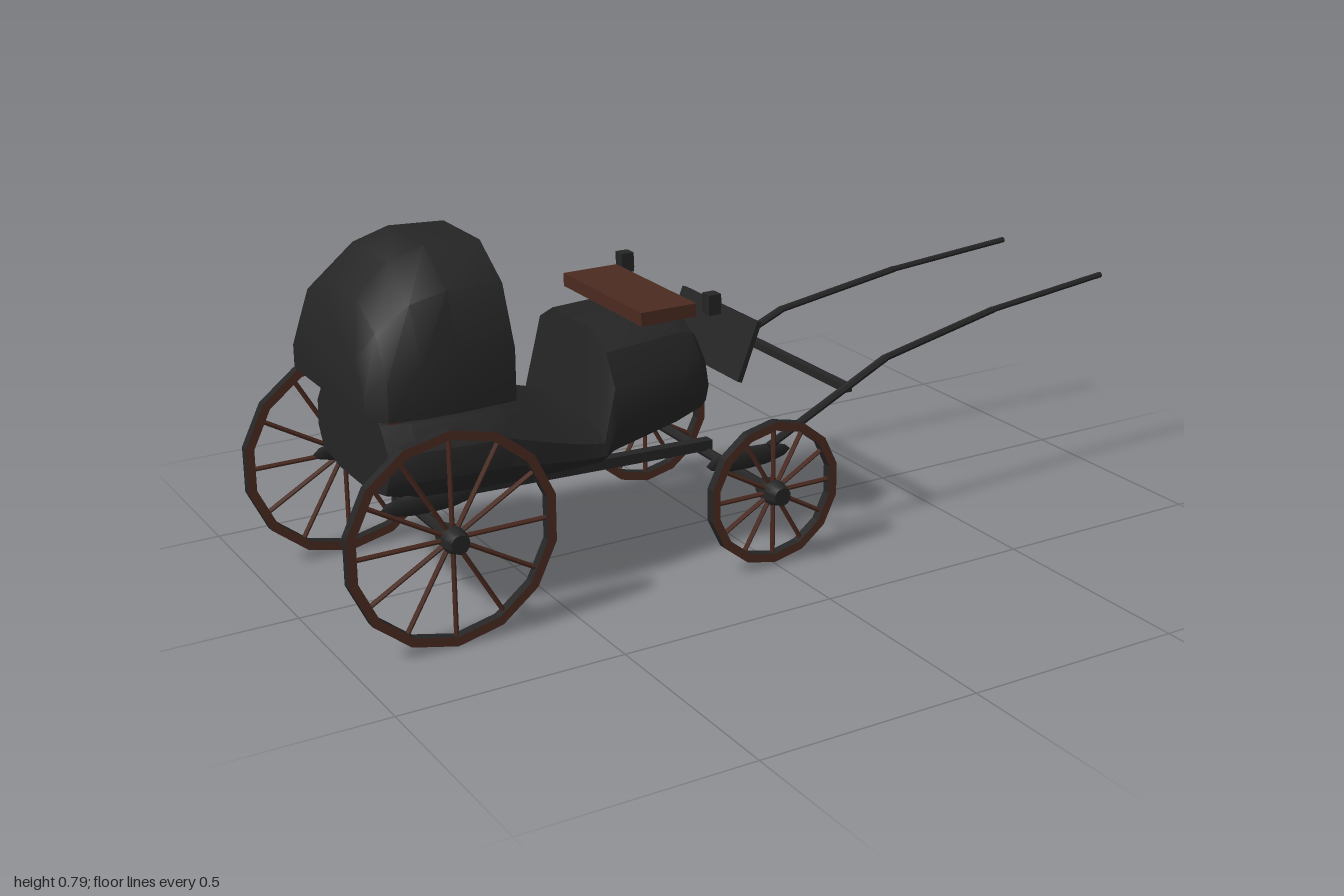
import * as THREE from 'three';
import { toCreasedNormals } from 'three/addons/utils/BufferGeometryUtils.js';

const black = new THREE.MeshStandardMaterial({ name: 'black lacquer', color: 0x252525 });
const brown = new THREE.MeshStandardMaterial({ name: 'brown wood', color: 0x4c2b21 });

function add(parent, name, geometry, material, x = 0, y = 0, z = 0) {
  const mesh = new THREE.Mesh(geometry, material);
  mesh.name = name;
  mesh.position.set(x, y, z);
  parent.add(mesh);
  return mesh;
}

// Straight rod between two points
function rod(parent, name, a, b, radius, material, sides = 6) {
  const p = new THREE.Vector3(...a), q = new THREE.Vector3(...b);
  const dir = q.clone().sub(p);
  const geo = toCreasedNormals(new THREE.CylinderGeometry(radius, radius, dir.length(), sides), 0.6);
  const mesh = add(parent, name, geo, material);
  mesh.position.copy(p).add(q).multiplyScalar(0.5);
  mesh.quaternion.setFromUnitVectors(new THREE.Vector3(0, 1, 0), dir.normalize());
  return mesh;
}

// Closed hull along x; stations are [xBottom, xTop, bottom, top, halfWidth],
// and the section lists [width, height] fractions from bottom to top of one side
function loft(stations, section, crease) {
  const ring = [...section, ...section.map(([w, h]) => [-w, h]).reverse()];
  const n = ring.length, pos = [], idx = [];
  for (const [xb, xt, b, t, half] of stations) {
    for (const [w, h] of ring) pos.push(xb + (xt - xb) * h, b + (t - b) * h, half * w);
  }
  const last = (stations.length - 1) * n;
  for (let i = 0; i < stations.length - 1; i++) {
    for (let j = 0; j < n; j++) {
      const k = (j + 1) % n, a = i * n, b = a + n;
      idx.push(a + j, b + j, b + k, a + j, b + k, a + k);
    }
  }
  for (let j = 1; j < n - 1; j++) idx.push(0, j, j + 1, last, last + j + 1, last + j);
  const geo = new THREE.BufferGeometry();
  geo.setAttribute('position', new THREE.Float32BufferAttribute(pos, 3));
  geo.setIndex(idx);
  return toCreasedNormals(geo, crease);
}

// Regular polygon outline with a corner at the bottom
function polygon(Type, radius, sides) {
  const pts = [];
  for (let i = 0; i < sides; i++) {
    const a = (i / sides) * Math.PI * 2 - Math.PI / 2;
    pts.push(new THREE.Vector2(Math.cos(a) * radius, Math.sin(a) * radius));
  }
  return new Type(pts);
}

function makeWheel(name, radius) {
  const wheel = new THREE.Group();
  wheel.name = name;
  // Wooden rim faces with a dark tyre around the edge
  const outline = polygon(THREE.Shape, radius, 14);
  outline.holes.push(polygon(THREE.Path, radius - 0.02, 14));
  const rim = new THREE.ExtrudeGeometry(outline, { depth: 0.022, bevelEnabled: false });
  rim.translate(0, 0, -0.011);
  add(wheel, 'rim', rim, [brown, black]);
  for (let i = 0; i < 12; i++) {
    const a = (i / 12) * Math.PI * 2, r = radius - 0.013;
    rod(wheel, 'spoke', [0, 0, 0], [Math.cos(a) * r, Math.sin(a) * r, 0], 0.0055, brown, 5);
  }
  // Barrel-shaped hub
  const profile = [[0, -0.04], [0.021, -0.04], [0.028, -0.016], [0.028, 0.016], [0.021, 0.04], [0, 0.04]];
  const hub = new THREE.LatheGeometry(profile.map(p => new THREE.Vector2(...p)), 10);
  hub.rotateX(Math.PI / 2);
  add(wheel, 'hub', toCreasedNormals(hub, 0.7), black);
  return wheel;
}

export function createModel() {
  const carriage = new THREE.Group();
  carriage.name = 'carriage';

  // Body tub with footwell and driver's box
  add(carriage, 'body', loft([
    [-0.86, -0.86, 0.285, 0.475, 0.19],
    [-0.8, -0.8, 0.272, 0.475, 0.213],
    [-0.6, -0.6, 0.268, 0.468, 0.22],
    [-0.5, -0.5, 0.268, 0.415, 0.21],
    [-0.42, -0.42, 0.268, 0.378, 0.2],
    [-0.365, -0.372, 0.268, 0.363, 0.193],
    [-0.335, -0.345, 0.268, 0.55, 0.19],
    [-0.18, -0.15, 0.305, 0.56, 0.184],
    [-0.12, -0.125, 0.325, 0.548, 0.177],
    [-0.09, -0.112, 0.34, 0.525, 0.163],
  ], [[0.42, 0], [0.88, 0.1], [1, 0.32], [0.98, 0.62], [0.8, 0.87], [0.46, 1]], 0.6), black);

  // Folding hood
  add(carriage, 'hood', loft([
    [-0.905, -0.905, 0.48, 0.62, 0.19],
    [-0.87, -0.87, 0.48, 0.7, 0.226],
    [-0.8, -0.8, 0.48, 0.765, 0.24],
    [-0.72, -0.72, 0.48, 0.788, 0.243],
    [-0.596, -0.596, 0.48, 0.782, 0.236],
  ], [[1, 0], [1, 0.37], [0.79, 0.78], [0.37, 1]], 0.6), black);

  // Seats and dashboard
  add(carriage, 'passengerSeat', new THREE.BoxGeometry(0.28, 0.022, 0.4), brown, -0.72, 0.477, 0);
  add(carriage, 'driverSeat', new THREE.BoxGeometry(0.135, 0.03, 0.35), brown, -0.203, 0.58, 0);
  const dash = add(carriage, 'dashboard', new THREE.BoxGeometry(0.012, 0.14, 0.32), black, 0.01, 0.455, 0);
  dash.rotation.z = -0.37;

  // Undercarriage
  rod(carriage, 'rearAxle', [-0.77, 0.235, -0.25], [-0.77, 0.235, 0.25], 0.012, black, 8);
  rod(carriage, 'frontAxle', [-0.005, 0.171, -0.25], [-0.005, 0.171, 0.25], 0.012, black, 8);
  const perch = add(carriage, 'perchPole', new THREE.BoxGeometry(0.78, 0.024, 0.026), black, -0.385, 0.203, 0);
  perch.rotation.z = -0.032;

  for (const s of [-1, 1]) {
    const side = s > 0 ? 'front' : 'back';

    // Wheels
    const rear = makeWheel(`largeWheel_${side}`, 0.234);
    rear.position.set(-0.77, 0.234, s * 0.282);
    const small = makeWheel(`smallWheel_${side}`, 0.165);
    small.position.set(-0.005, 0.172, s * 0.282);
    carriage.add(rear, small);

    // Leaf springs
    for (const [x, y] of [[-0.77, 0.28], [-0.005, 0.218]]) {
      const spring = new THREE.SphereGeometry(1, 10, 6);
      spring.scale(0.11, 0.026, 0.011);
      add(carriage, 'spring', spring, black, x, y, s * 0.182);
    }

    // Lamps with a small wooden face
    add(carriage, 'lamp', new THREE.BoxGeometry(0.03, 0.045, 0.03), black, -0.106, 0.594, s * 0.189);
    add(carriage, 'lampFace', new THREE.BoxGeometry(0.004, 0.026, 0.024), brown, -0.09, 0.594, s * 0.189);

    // Bent harness shaft
    const path = [[0.02, 0.255, 0.226], [0.34, 0.4, 0.214], [0.66, 0.457, 0.196], [0.995, 0.487, 0.184]];
    for (let i = 0; i < path.length - 1; i++) {
      const [a, b] = [path[i], path[i + 1]].map(([x, y, z]) => [x, y, z * s]);
      rod(carriage, 'shaft', a, b, 0.009 - i * 0.001, black);
    }
  }
  add(carriage, 'shaftCrossbar', new THREE.BoxGeometry(0.02, 0.018, 0.43), black, 0.238, 0.345, 0);

  return carriage;
}
